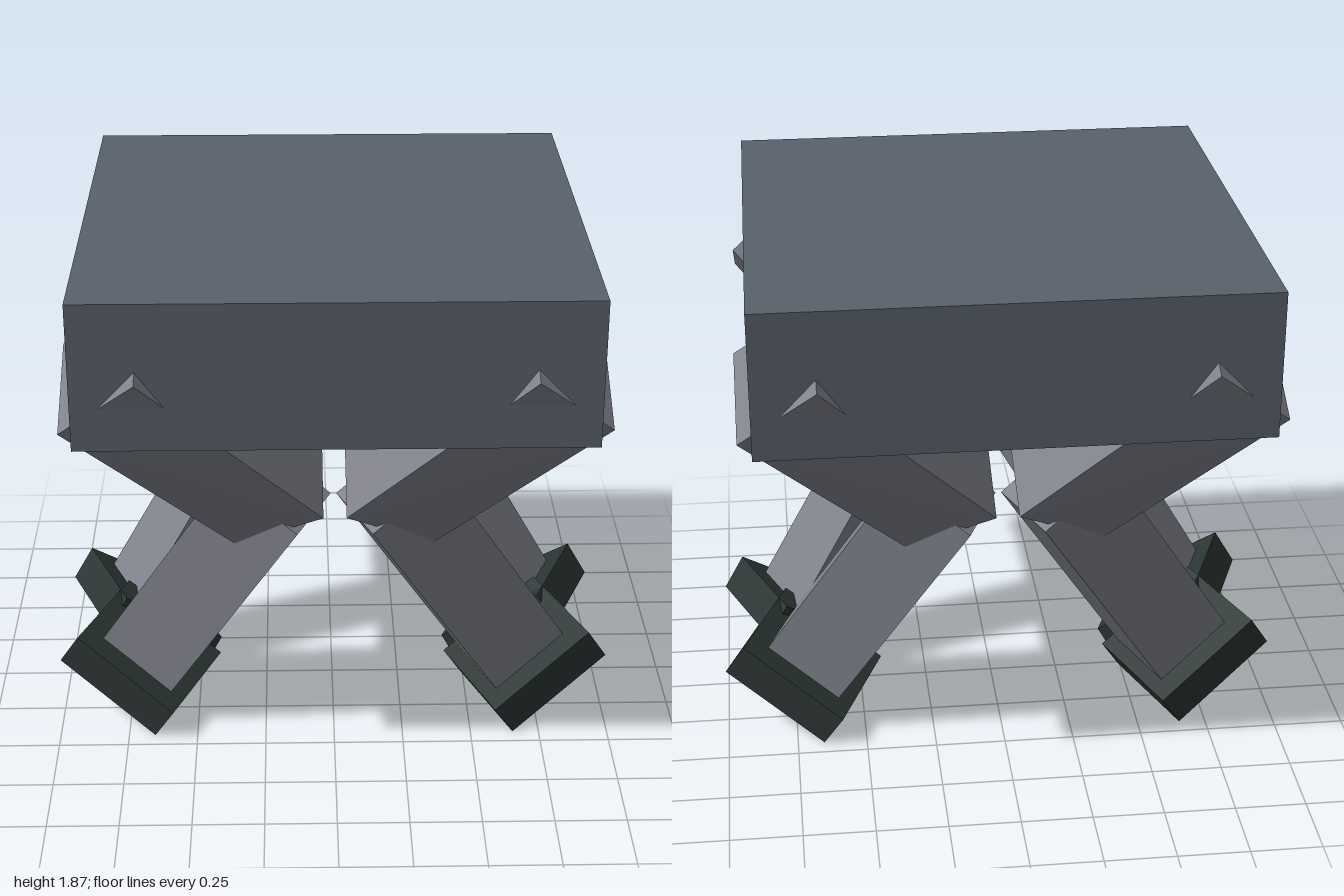
import * as THREE from 'three';
import { ConvexGeometry } from 'three/addons/geometries/ConvexGeometry.js';

const V = (x, y, z) => new THREE.Vector3(x, y, z);

export function createModel() {
  const group = new THREE.Group();
  const material = (name, color) => {
    const m = new THREE.MeshStandardMaterial({ color });
    m.name = name;
    return m;
  };
  const slate = material('slate', 0x59616b);
  const grey = material('grey', 0x7f818b);
  const darkGreen = material('darkGreen', 0x2b3533);

  const add = (parent, name, geometry, mat) => {
    const mesh = new THREE.Mesh(geometry, mat);
    mesh.name = name;
    parent.add(mesh);
    return mesh;
  };

  // Eight corners of a slanted block: one corner and its three edges
  const block = (corner, e1, e2, e3) => {
    const points = [];
    for (const i of [0, 1]) for (const j of [0, 1]) for (const k of [0, 1]) {
      points.push(corner.clone().addScaledVector(e1, i).addScaledVector(e2, j).addScaledVector(e3, k));
    }
    return points;
  };

  // Heavy square body
  add(group, 'body', new THREE.BoxGeometry(1.715, 0.51, 1.71), slate).position.y = 1.62;

  // Thigh: its top corners poke out of the body, its lower end stops near the middle
  const thigh = [
    V(0.905, 1.58, 0.475), V(0.905, 1.4, 0.8), V(0.645, 1.615, 0.905), V(0.645, 1.79, 0.58),
    V(0.345, 0.98, 0.14), V(0.345, 0.82, 0.48), V(0.04, 0.965, 0.57), V(0.04, 1.135, 0.235),
  ];

  // Shin and foot share the same slanted axes
  const down = V(0.515, -0.83, -0.216);
  const outward = V(0.78, 0.557, -0.285);
  const inward = V(-0.366, 0.015, -0.93);
  const along = (axis, length) => axis.clone().multiplyScalar(length);
  const shin = block(V(0.13, 0.9, 0.567), along(outward, 0.317), along(inward, 0.328), along(down, 0.95));
  const foot = block(V(0.585, 0.118, 0.468), along(outward, 0.443), along(inward, 0.443), along(down, 0.135));

  // Four mirrored legs
  for (const sx of [1, -1]) for (const sz of [1, -1]) {
    const leg = new THREE.Group();
    leg.name = (sz > 0 ? 'front' : 'back') + (sx > 0 ? 'Left' : 'Right') + 'Leg';
    const mirror = (points) => new ConvexGeometry(points.map((p) => V(p.x * sx, p.y, p.z * sz)));
    add(leg, 'thigh', mirror(thigh), grey);
    add(leg, 'shin', mirror(shin), grey);
    add(leg, 'foot', mirror(foot), darkGreen);
    group.add(leg);
  }
  return group;
}
